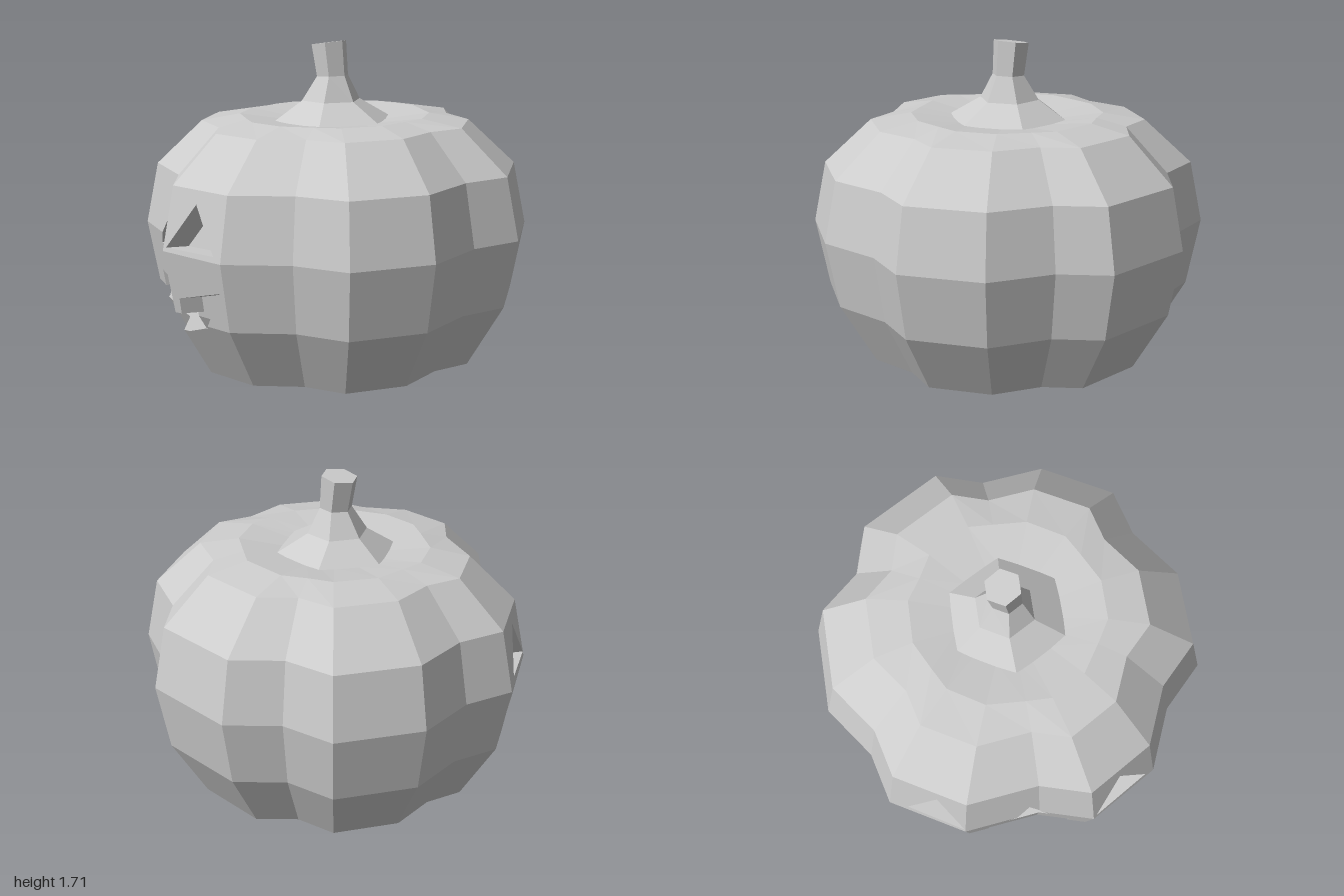
import * as THREE from 'three';

const V = (x, y, z) => new THREE.Vector3(x, y, z);

// Flat-shaded geometry from convex polygons, corners counter-clockwise from outside
function polysToGeometry(polys) {
  const pos = [];
  for (const p of polys) {
    for (let i = 1; i < p.length - 1; i++) {
      for (const v of [p[0], p[i], p[i + 1]]) pos.push(v.x, v.y, v.z);
    }
  }
  const g = new THREE.BufferGeometry();
  g.setAttribute('position', new THREE.Float32BufferAttribute(pos, 3));
  g.computeVertexNormals();
  return g;
}

// Quads between successive rings
function loft(rings) {
  const out = [];
  for (let i = 0; i < rings.length - 1; i++) {
    const n = rings[i].length;
    for (let j = 0; j < n; j++) {
      const k = (j + 1) % n;
      out.push([rings[i][j], rings[i + 1][j], rings[i + 1][k], rings[i][k]]);
    }
  }
  return out;
}

// Ribbed outline at the widest ring: two ridge points and one valley per lobe (x, z)
const OUTLINE = [
  [0.90, 0.08], [0.90, 0.42], [0.66, 0.76], [0.37, 0.81], [0.08, 0.985], [-0.32, 0.95],
  [-0.49, 0.73], [-0.83, 0.54], [-1.0, 0.16], [-0.90, -0.09], [-0.90, -0.42], [-0.64, -0.79],
  [-0.36, -0.82], [-0.14, -1.0], [0.36, -0.95], [0.52, -0.73], [0.82, -0.56], [1.0, -0.17],
];
// Height, scale, roundness
const RINGS = [
  [0.005, 0.42, 0.2], [0.09, 0.75, 0], [0.412, 0.935, 0], [0.76, 1, 0],
  [1.075, 0.935, 0], [1.3, 0.695, 0], [1.335, 0.49, 0.6], [1.305, 0.26, 1],
];

function bodyRing([y, s, round]) {
  return OUTLINE.map(([x, z]) => {
    const r = Math.hypot(x, z);
    const k = s * (1 + round * (1 / r - 1));
    // The whole body leans very slightly
    return V(x * k, y + (y > 0.05 ? 0.01 * x * k - 0.007 * z * k : 0), z * k);
  });
}

// Face frame: FACE points out of the face, SIDE runs across it
const ANGLE = THREE.MathUtils.degToRad(128);
const FACE = V(Math.cos(ANGLE), 0, Math.sin(ANGLE));
const SIDE = V(FACE.z, 0, -FACE.x);
const DEPTH = 0.11;
const mirror = (pts) => pts.map(([u, y]) => [-u, y]).reverse();

const eye = [[0.335, 0.77], [0.61, 0.782], [0.455, 1.0]];
const nose = [[-0.108, 0.685], [0.108, 0.69], [0, 0.84]];
const mouthTop = [[0.61, 0.6], [0.35, 0.515], [0.34, 0.435], [0.21, 0.425], [0.21, 0.51]];
const mouthLow = [[0.32, 0.335], [0.48, 0.395]];
const mouth = [
  ...mouthTop, [0, 0.487], ...mirror(mouthTop),
  ...mirror(mouthLow), [0, 0.32], ...mouthLow,
];
const CARVINGS = [eye, mirror(eye), nose, mouth]
  .map((pts) => pts.map(([u, y]) => new THREE.Vector2(u + 0.012, y)));

const flat = (v) => new THREE.Vector2(v.dot(SIDE), v.y);
const cross = (a, b, p) => (b.x - a.x) * (p.y - a.y) - (b.y - a.y) * (p.x - a.x);

// Split a polygon along the line a-b of the face plane into left and right pieces
function split(poly, a, b) {
  const left = [], right = [];
  poly.forEach((p, i) => {
    const q = poly[(i + 1) % poly.length];
    const dp = cross(a, b, flat(p)), dq = cross(a, b, flat(q));
    if (dp >= -1e-9) left.push(p);
    if (dp <= 1e-9) right.push(p);
    if ((dp > 1e-9 && dq < -1e-9) || (dp < -1e-9 && dq > 1e-9)) {
      const m = p.clone().lerp(q, dp / (dp - dq));
      left.push(m);
      right.push(m);
    }
  });
  return [left, right].map((s) => (s.length > 2 && area(s) > 1e-8 ? s : null));
}

function area(poly) {
  return Math.abs(THREE.ShapeUtils.area(poly.map(flat)));
}

// Cut one triangle out of the skin; pieces inside it go to cut
function cutTriangle(skin, tri, cut) {
  const out = [];
  for (const poly of skin) {
    let inside = poly;
    const outside = [];
    for (let e = 0; e < 3 && inside; e++) {
      const [l, r] = split(inside, tri[e], tri[(e + 1) % 3]);
      if (r) outside.push(r);
      inside = l;
    }
    if (inside) {
      cut.push(inside);
      out.push(...outside);
    } else out.push(poly);
  }
  return out;
}

function onOutline(p, outline) {
  return outline.some((a, i) => {
    const b = outline[(i + 1) % outline.length];
    const len = a.distanceTo(b);
    const t = ((p.x - a.x) * (b.x - a.x) + (p.y - a.y) * (b.y - a.y)) / (len * len);
    return t > -0.001 && t < 1.001 && Math.abs(cross(a, b, p)) / len < 1e-5;
  });
}

export function createModel() {
  const model = new THREE.Group();
  const grey = new THREE.MeshStandardMaterial({ color: 0xcccccc });
  grey.name = 'plain grey';
  const add = (name, polys) => {
    const mesh = new THREE.Mesh(polysToGeometry(polys), grey);
    mesh.name = name;
    model.add(mesh);
  };

  // Body, split into the carved front and the rest
  const rings = RINGS.map(bodyRing);
  let front = [];
  const rest = [rings[0].slice(), rings[rings.length - 1].slice().reverse()];
  for (const q of loft(rings)) {
    const mid = q.reduce((s, v) => s.add(v), V(0, 0, 0)).multiplyScalar(0.25);
    const faces = mid.dot(FACE) > 0.3 && mid.y > 0.09 && mid.y < 1.2;
    (faces ? front : rest).push(q);
  }

  // Carvings: sunken floor and the walls around it
  const names = ['leftEye', 'rightEye', 'nose', 'mouth'];
  CARVINGS.forEach((outline, n) => {
    const cut = [];
    for (const f of THREE.ShapeUtils.triangulateShape(outline, [])) {
      const tri = f.map((i) => outline[i]);
      if (cross(...tri) < 0) tri.reverse();
      front = cutTriangle(front, tri, cut);
    }
    const sink = (v) => v.clone().addScaledVector(FACE, -DEPTH);
    const polys = cut.map((p) => p.map(sink));
    for (const p of cut) {
      p.forEach((a, i) => {
        const b = p[(i + 1) % p.length];
        if (onOutline(flat(a).lerp(flat(b), 0.5), outline)) polys.push([a, b, sink(b), sink(a)]);
      });
    }
    add(names[n] + 'Recess', polys);
  });
  add('body', rest);
  add('carvedFront', front);

  // Six-sided stem: height, radius, centre x, lean of the ring
  const stem = [
    [1.305, 0.315, -0.005, 0], [1.405, 0.155, -0.02, 0],
    [1.53, 0.083, -0.01, 0.05], [1.697, 0.092, -0.033, 0.15],
  ].map(([y, r, cx, lean]) => Array.from({ length: 6 }, (_, i) => {
    const a = THREE.MathUtils.degToRad(6 + i * 60);
    const x = r * Math.cos(a);
    return V(cx + x, y + lean * x, r * Math.sin(a));
  }));
  add('stem', [...loft(stem), stem[3].slice().reverse()]);

  return model;
}
